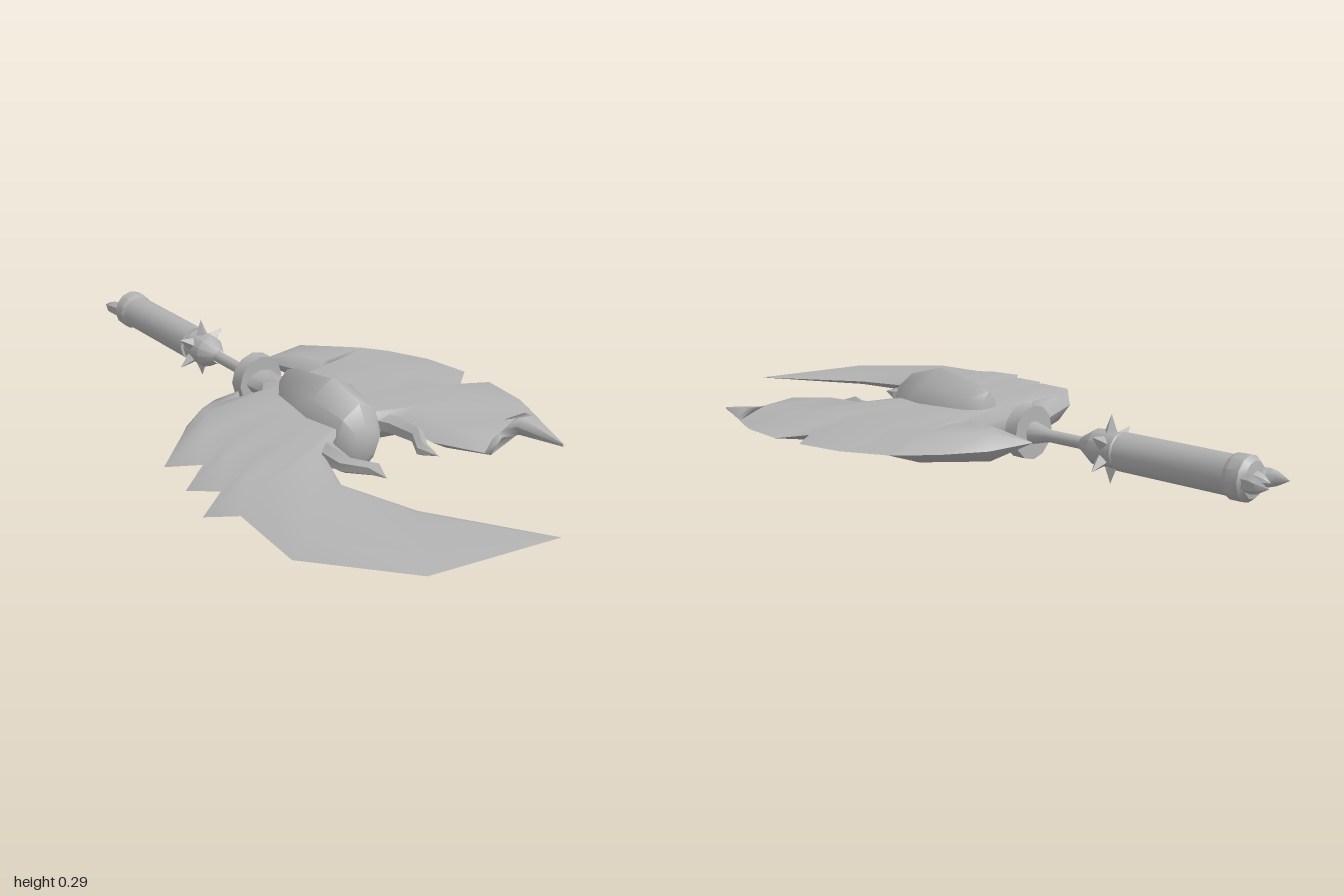
import * as THREE from 'three';
import { toCreasedNormals } from 'three/addons/utils/BufferGeometryUtils.js';

const AXIS_Y = 0.156, AXIS_Z = -0.035;

function indexed(pos, idx) {
  const g = new THREE.BufferGeometry();
  g.setAttribute('position', new THREE.Float32BufferAttribute(pos, 3));
  g.setIndex(idx);
  return g;
}

// Rings [x, y, z, radiusY, radiusZ] joined along ascending x
function loft(sections, sides, crease = 0.9) {
  const pos = [], idx = [];
  sections.forEach(([x, y, z, ry, rz], i) => {
    for (let j = 0; j < sides; j++) {
      const a = (j / sides) * Math.PI * 2;
      pos.push(x, y + ry * Math.cos(a), z + rz * Math.sin(a));
      if (i === sections.length - 1) continue;
      const p = i * sides + j, q = i * sides + (j + 1) % sides;
      idx.push(p, q, p + sides, q, q + sides, p + sides);
    }
  });
  return toCreasedNormals(indexed(pos, idx), crease);
}

// Turned part along x from [x, radius] points
function turned(profile, sides = 12, crease = 0.6) {
  const g = new THREE.LatheGeometry(profile.map(([x, r]) => new THREE.Vector2(r, x)), sides);
  g.rotateZ(-Math.PI / 2);
  g.translate(0, AXIS_Y, AXIS_Z);
  return toCreasedNormals(g, crease);
}

// Blade from stations [outerX, outerZ, innerX, innerZ, joinsCore]; bevelled to sharp edges
function blade(stations, bevel, flip) {
  const pos = [], idx = [];
  for (const side of [1, -1]) {
    const base = pos.length / 3;
    stations.forEach(([ox, oz, ix, iz, core], i) => {
      const width = Math.hypot(ix - ox, iz - oz);
      [0, bevel, 0.86, 1].forEach((t, k) => {
        const x = ox + (ix - ox) * t, z = oz + (iz - oz) * t;
        const thick = Math.min(0.041, (1 - x) * 0.06, width * 0.35);
        const h = k === 0 || (k === 3 && !core) ? 0 : thick;
        pos.push(x, AXIS_Y + side * h, z);
        if (k === 3 || i === stations.length - 1) return;
        const a = base + i * 4 + k, b = a + 1, c = a + 4, d = a + 5;
        if (side * flip > 0) idx.push(a, b, c, b, d, c);
        else idx.push(a, c, b, b, c, d);
      });
    });
  }
  const g = indexed(pos, idx);
  g.computeVertexNormals();
  return g;
}

export function createModel() {
  const model = new THREE.Group();
  const steel = new THREE.MeshStandardMaterial({ color: 0xb2b2b2 });
  steel.name = 'greySteel';
  const add = (name, geometry, parent = model) => {
    const m = new THREE.Mesh(geometry, steel);
    m.name = name;
    parent.add(m);
    return m;
  };

  // Handle, collar and shaft
  add('pommelRing', turned([[-0.94, 0], [-0.93, 0.05], [-0.915, 0.062], [-0.88, 0.062], [-0.865, 0.054]]));
  add('grip', turned([[-0.875, 0.055], [-0.525, 0.055], [-0.525, 0]]));
  add('collar', turned([[-0.53, 0.04], [-0.515, 0.051], [-0.44, 0.051], [-0.39, 0.021]]));
  add('shaft', turned([[-0.40, 0.018], [-0.27, 0.018], [-0.20, 0.036]]));
  add('guardDisc', turned([[-0.21, 0], [-0.21, 0.079], [-0.167, 0.079], [-0.167, 0]], 12));

  // Pommel claws
  add('pommelTip', turned([[-0.975, 0], [-0.95, 0.02], [-0.92, 0.03]], 8));
  for (const s of [1, -1]) {
    add('pommelClaw', loft([
      [-1.0, AXIS_Y, AXIS_Z + s * 0.05, 0, 0],
      [-0.965, AXIS_Y, AXIS_Z + s * 0.05, 0.02, 0.015],
      [-0.945, AXIS_Y, AXIS_Z + s * 0.042, 0.026, 0.02],
      [-0.915, AXIS_Y, AXIS_Z + s * 0.035, 0.024, 0.02]], 6));
  }

  // Ring of spikes around the collar
  const spikes = new THREE.Group();
  spikes.name = 'collarSpikes';
  spikes.position.set(-0.485, AXIS_Y, AXIS_Z);
  for (let i = 0; i < 6; i++) {
    const g = new THREE.ConeGeometry(0.021, 0.05, 4);
    g.translate(0, 0.073, 0);
    g.rotateX((i * Math.PI) / 3);
    add('spike', toCreasedNormals(g, 0.3), spikes);
  }
  model.add(spikes);

  // Neck plate between disc and blades
  add('neck', loft([
    [-0.17, AXIS_Y, AXIS_Z, 0.036, 0.055],
    [-0.11, AXIS_Y, AXIS_Z, 0.036, 0.05],
    [-0.05, AXIS_Y, AXIS_Z, 0.041, 0.12],
    [0.02, AXIS_Y, AXIS_Z, 0.041, 0.12]], 8));

  // Central faceted orb
  const oy = 0.147, oz = -0.027;
  add('orb', loft([
    [-0.03, oy, oz, 0, 0],
    [-0.028, oy, oz, 0.10, 0.04],
    [0.01, oy, oz, 0.117, 0.076],
    [0.175, oy, oz, 0.146, 0.108],
    [0.295, oy, oz, 0.112, 0.085],
    [0.33, oy, oz, 0.05, 0.05],
    [0.335, oy, oz, 0, 0]], 8, 1.0));

  // Curved horns either side of the orb
  for (const s of [1, -1]) {
    add('horn', loft([
      [0.24, AXIS_Y, oz + s * 0.10, 0.03, 0.035],
      [0.31, AXIS_Y, oz + s * 0.13, 0.03, 0.032],
      [0.395, AXIS_Y, oz + s * 0.135, 0.025, 0.024],
      [0.46, AXIS_Y, oz + s * 0.09, 0.02, 0.022],
      [0.52, AXIS_Y, oz + s * 0.097, 0, 0]], 6));
  }

  // Back blade
  add('backBlade', blade([
    [-0.285, -0.13, -0.28, -0.128],
    [-0.26, -0.28, -0.17, -0.165],
    [-0.19, -0.39, -0.075, -0.195],
    [-0.11, -0.475, -0.06, -0.2],
    [-0.09, -0.49, -0.045, -0.03, 1],
    [0.04, -0.55, 0.05, -0.03, 1],
    [0.18, -0.572, 0.15, -0.03, 1],
    [0.24, -0.49, 0.2, -0.03, 1],
    [0.28, -0.577, 0.25, -0.03, 1],
    [0.42, -0.56, 0.30, -0.17],
    [0.47, -0.54, 0.45, -0.165],
    [0.50, -0.527, 0.585, -0.235],
    [0.53, -0.514, 0.515, -0.36],
    [0.56, -0.50, 0.535, -0.42],
    [0.70, -0.44, 0.69, -0.438]], 0.35, 1));

  // Front blade with its long hooked point
  add('frontBlade', blade([
    [-0.15, 0.065, -0.145, 0.067],
    [-0.09, 0.23, -0.055, 0.12],
    [-0.06, 0.315, -0.05, 0.12],
    [-0.02, 0.36, -0.045, -0.03, 1],
    [0.10, 0.50, 0.05, -0.03, 1],
    [0.155, 0.41, 0.10, -0.03, 1],
    [0.24, 0.525, 0.15, -0.03, 1],
    [0.30, 0.455, 0.20, -0.03, 1],
    [0.375, 0.565, 0.25, -0.03, 1],
    [0.43, 0.487, 0.32, 0.12],
    [0.665, 0.51, 0.47, 0.187],
    [0.915, 0.305, 0.69, 0.12],
    [1.0, 0.07 - 0.14, 0.995, -0.066]], 0.27, -1));

  return model;
}
